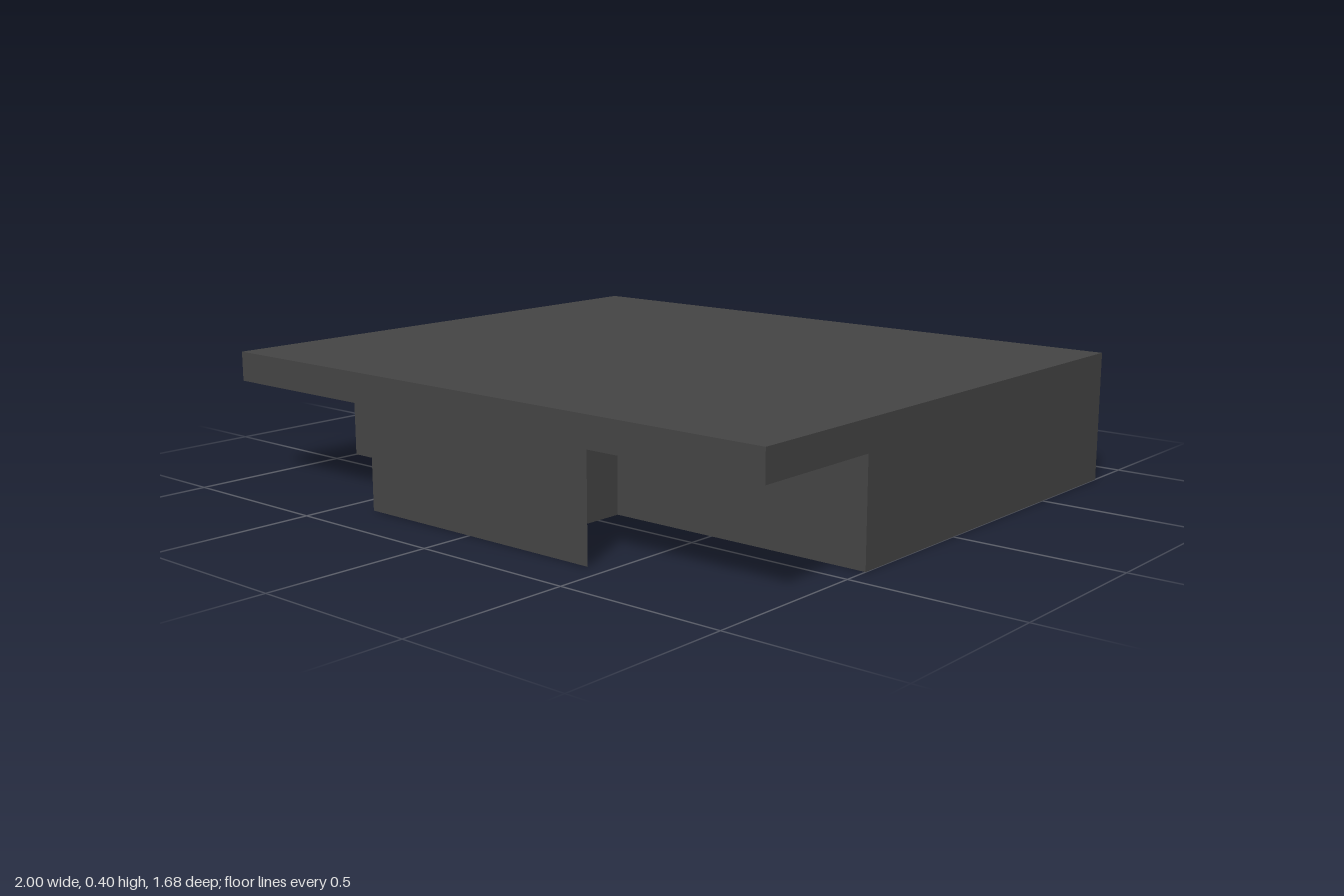
import * as THREE from 'three';

const TOP = 0.395, EAVE = 0.305; // roof height, underside of the fascia band
const FRONT = 0.84, BACK = -0.84, WALL = 0.42, PORCH = 0.7; // z positions
const DOOR = 0.16; // half width of the doorway

export function createModel() {
  const model = new THREE.Group();
  const material = new THREE.MeshStandardMaterial({
    color: 0x444444, side: THREE.DoubleSide, flatShading: true,
  });

  // Flat panel from an outline of [u, y] points
  const panel = (name, points) => {
    const shape = new THREE.Shape(points.map(([u, y]) => new THREE.Vector2(u, y)));
    const mesh = new THREE.Mesh(new THREE.ShapeGeometry(shape), material);
    mesh.name = name;
    model.add(mesh);
    return mesh;
  };
  const rect = (u0, u1, y0, y1) => [[u0, y0], [u1, y0], [u1, y1], [u0, y1]];

  // Roof sheet
  const roof = panel('roof', rect(-1, 1, BACK, FRONT));
  roof.rotation.x = -Math.PI / 2;
  roof.position.y = TOP;

  // Front fascia with the hanging centre panel
  panel('frontFascia', [
    [-1, EAVE], [-0.4, EAVE], [-0.4, 0], [0.44, 0],
    [0.44, EAVE], [1, EAVE], [1, TOP], [-1, TOP],
  ]).position.z = FRONT;

  for (const side of [-1, 1]) {
    const prefix = side > 0 ? 'left' : 'right';

    // Side wall, cut away under the front overhang (u runs along -z)
    const wall = panel(prefix + 'SideWall', [
      [-FRONT, EAVE], [-WALL, EAVE], [-WALL, 0],
      [-BACK, 0], [-BACK, TOP], [-FRONT, TOP],
    ]);
    wall.rotation.y = Math.PI / 2;
    wall.position.x = side;

    // Recessed front wall beside the doorway
    const u0 = side > 0 ? DOOR : -1, u1 = side > 0 ? 1 : -DOOR;
    panel(prefix + 'InnerWall', rect(u0, u1, 0, EAVE)).position.z = WALL;

    // Short return wall flanking the doorway
    const jamb = panel(prefix + 'DoorReturn', rect(-PORCH, -WALL, 0, EAVE));
    jamb.rotation.y = Math.PI / 2;
    jamb.position.x = side * DOOR;
  }

  return model;
}
